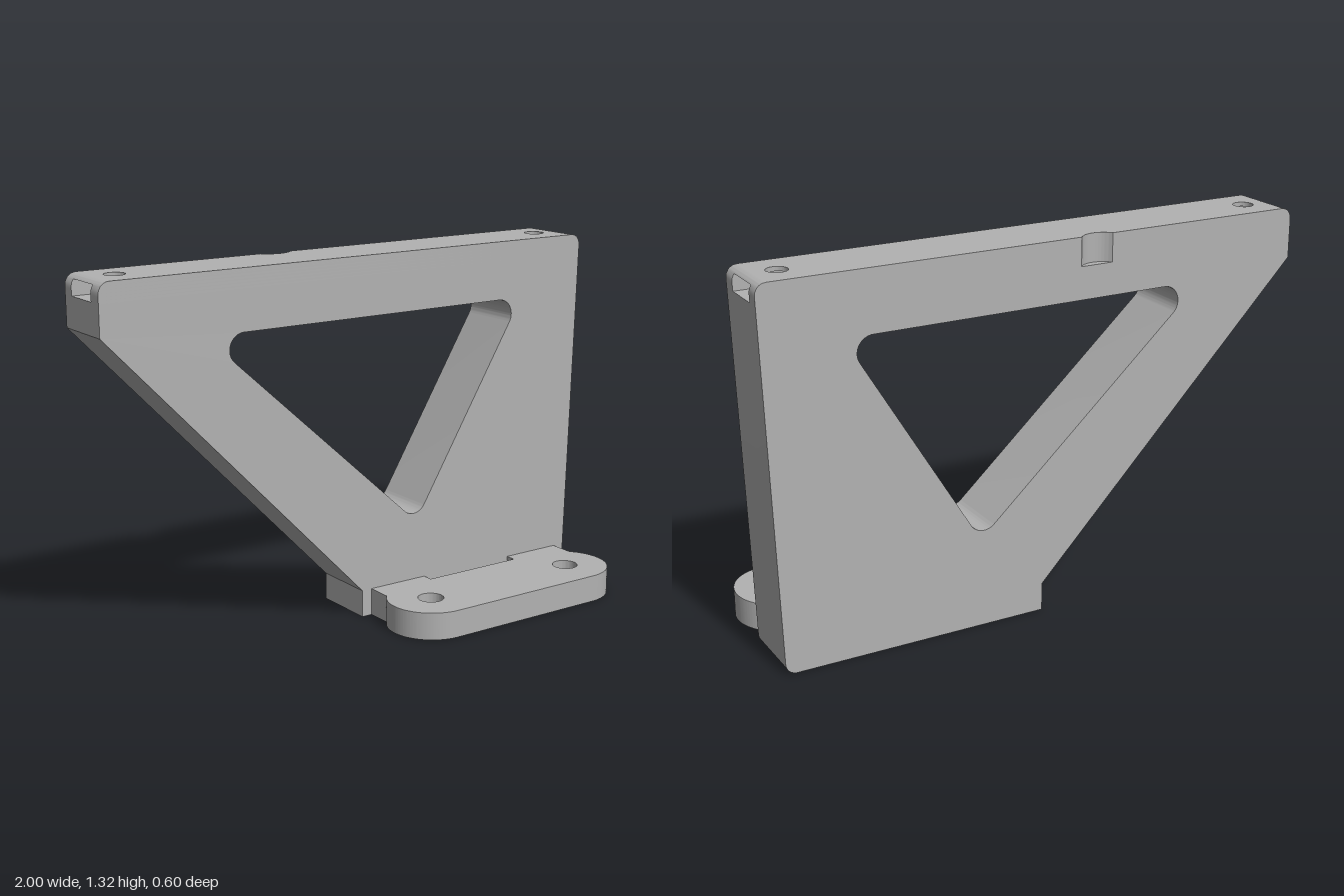
import * as THREE from 'three';
import { mergeGeometries, toCreasedNormals } from 'three/addons/utils/BufferGeometryUtils.js';

const TOP = 1.32, FILLET = 0.04;   // top of the bracket and its corner radius
const BACK = -0.30, FACE = -0.06;  // z range of the upright plate
const BOLT_X = 0.88, BOLT_Z = -0.183;

const circle = (x, y, r) => new THREE.Path().absarc(x, y, r, 0, Math.PI * 2, true);

// x of the slightly leaning right edge
const rightEdge = (y) => 0.958 + 0.0326 * y;

// How far the rounded top corners pull in at height y
function cornerInset(y) {
  const d = Math.max(0, y - (TOP - FILLET));
  return FILLET - Math.sqrt(Math.max(0, FILLET * FILLET - d * d));
}

// Extrude a plan drawn in (x, -z) upward from y0 to y1
function extrudeUp(shape, y0, y1, steps = 1) {
  return new THREE.ExtrudeGeometry(shape, { depth: y1 - y0, steps, bevelEnabled: false, curveSegments: 32 })
    .rotateX(-Math.PI / 2)
    .translate(0, y0, 0);
}

// Triangular window with rounded corners, as a loop around three circles
function windowPath() {
  const r = 0.057;
  const centres = [[-0.475, 1.048], [0.228, 0.41], [0.617, 1.048]];
  const path = new THREE.Path();
  centres.forEach(([x, y], i) => {
    const [px, py] = centres[(i + 2) % 3], [nx, ny] = centres[(i + 1) % 3];
    const a = Math.atan2(y - py, x - px) - Math.PI / 2;
    const b = Math.atan2(ny - y, nx - x) - Math.PI / 2;
    path.absarc(x, y, r, a, b, false);
  });
  path.closePath();
  return path;
}

// Main part of the upright, below the top rail
function lowerPlate(yTop) {
  const s = new THREE.Shape();
  s.moveTo(0, 0);
  s.lineTo(rightEdge(0) - FILLET, 0);
  s.absarc(rightEdge(0.04) - FILLET, FILLET, FILLET, -Math.PI / 2, 0, false);
  s.lineTo(rightEdge(yTop), yTop);
  s.lineTo(-1, yTop);
  s.lineTo(-1, 1.14);
  s.lineTo(0, 0.1);
  s.closePath();
  s.holes.push(windowPath());
  return new THREE.ExtrudeGeometry(s, { depth: FACE - BACK, bevelEnabled: false, curveSegments: 16 })
    .translate(0, 0, BACK);
}

// Plan of the top rail, with the back notch and optional nut pockets
function railPlan(pockets) {
  const s = new THREE.Shape();
  const pocket = (side) => {
    if (!pockets) return;
    const c = -BOLT_Z;
    [[1, -0.07], [BOLT_X, -0.07], [BOLT_X - 0.06, -0.035],
      [BOLT_X - 0.06, 0.035], [BOLT_X, 0.07], [1, 0.07]]
      .forEach(([x, d]) => s.lineTo(side * x, c + side * d));
  };
  s.moveTo(-1, -FACE);
  s.lineTo(1, -FACE);
  pocket(1);
  s.lineTo(1, -BACK);
  s.absarc(-0.2, -BACK + 0.045, 0.075, Math.atan2(-0.045, 0.06), Math.atan2(-0.045, -0.06), true);
  s.lineTo(-1, -BACK);
  pocket(-1);
  s.closePath();
  return s;
}

// One layer of the top rail, with its ends shaped to the outline
function railLayer(shape, y0, y1, steps) {
  const g = extrudeUp(shape, y0, y1, steps);
  const p = g.attributes.position;
  for (let i = 0; i < p.count; i++) {
    const x = p.getX(i), y = p.getY(i);
    if (x > 0.95) p.setX(i, rightEdge(y) - cornerInset(y));
    else if (x < -0.95) p.setX(i, -1 + cornerInset(y));
  }
  return g;
}

// Mounting foot with rounded ends, screw holes and a slot against the plate
function footGeometry() {
  const r = 0.16, cz = -0.14, neckY = -0.034;
  const s = new THREE.Shape();
  s.moveTo(0.04, 0.06);
  s.lineTo(0.04, neckY);
  s.absarc(0.16, cz, r, Math.atan2(0.106, -0.12), Math.PI * 1.5, false);
  s.absarc(0.797, cz, r, -Math.PI / 2, Math.atan2(0.106, 0.118), false);
  s.lineTo(0.915, 0.06);
  s.lineTo(0.68, 0.06);
  s.lineTo(0.68, 0.02);
  s.lineTo(0.28, 0.02);
  s.lineTo(0.28, 0.06);
  s.closePath();
  s.holes.push(circle(0.16, cz, 0.047), circle(0.797, cz, 0.047));
  return extrudeUp(s, 0, 0.1);
}

export function createModel() {
  const grey = new THREE.MeshStandardMaterial({ color: 0xb2b2b2 });
  grey.name = 'grey';
  const group = new THREE.Group();
  group.name = 'bracket';

  const add = (name, geometry) => {
    const mesh = new THREE.Mesh(toCreasedNormals(geometry, 0.6), grey);
    mesh.name = name;
    group.add(mesh);
  };

  // Lid of the rail with a bolt hole above each nut pocket
  const lid = railPlan(false);
  for (const side of [-1, 1]) lid.holes.push(circle(side * BOLT_X, -BOLT_Z, 0.036));

  add('uprightPlate', mergeGeometries([
    lowerPlate(1.22),
    railLayer(railPlan(false), 1.22, 1.25, 1),
    railLayer(railPlan(true), 1.25, 1.305, 5),
    railLayer(lid, 1.305, TOP, 8),
  ]));
  add('mountingFoot', footGeometry());
  return group;
}
